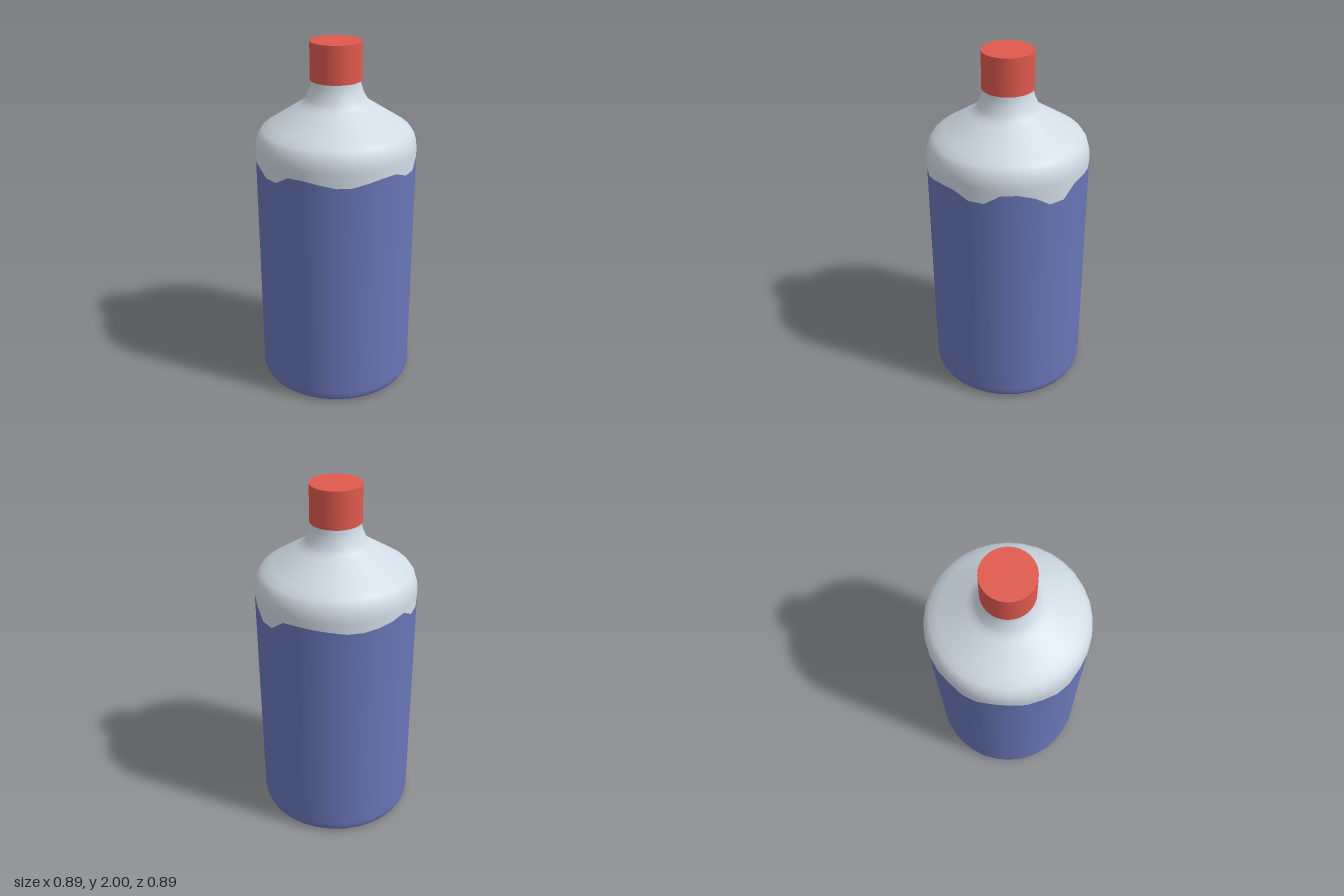
import * as THREE from 'three';

const SIDES = 32;
const RADIUS = 0.447;

// Height of the wavy colour edge at each side, starting at the front and turning towards +x
const WAVE = [
  1.37, 1.357, 1.34, 1.34, 1.357, 1.37, 1.37, 1.335,
  1.335, 1.39, 1.39, 1.365, 1.31, 1.31, 1.375, 1.38,
  1.375, 1.368, 1.356, 1.355, 1.363, 1.374, 1.39, 1.343,
  1.345, 1.38, 1.38, 1.355, 1.355, 1.32, 1.32, 1.37,
];

// Turned shape whose profile point `waveIndex` follows the wavy edge
function wavyLathe(profile, waveIndex) {
  const points = profile.map(([r, y]) => new THREE.Vector2(r, y));
  const geometry = new THREE.LatheGeometry(points, SIDES);
  for (let i = 0; i <= SIDES; i++) {
    geometry.attributes.position.setY(i * points.length + waveIndex, WAVE[i % SIDES]);
  }
  return geometry;
}

function part(name, geometry, color) {
  const material = new THREE.MeshStandardMaterial({ color });
  const mesh = new THREE.Mesh(geometry, material);
  mesh.name = name;
  return mesh;
}

export function createModel() {
  const group = new THREE.Group();
  group.name = 'bottle';

  // Blue lower body with a rounded base edge
  const lower = [
    [0, 0], [0.395, 0], [0.415, 0.003], [0.437, 0.014],
    [0.445, 0.032], [RADIUS, 0.06], [RADIUS, 1.35],
  ];
  group.add(part('lowerBody', wavyLathe(lower, lower.length - 1), 0x6a76b8));

  // Pale upper body: rounded shoulder, sloping cone and flared neck
  const upper = [
    [RADIUS, 1.35], [RADIUS, 1.42], [0.443, 1.455], [0.431, 1.495], [0.407, 1.527],
    [0.36, 1.557], [0.21, 1.653], [0.18, 1.674], [0.163, 1.7], [0.147, 1.735],
    [0.136, 1.77], [0.132, 1.81],
  ];
  group.add(part('shoulderAndNeck', wavyLathe(upper, 0), 0xd0dbe4));

  // Red cap
  const cap = part('cap', new THREE.CylinderGeometry(0.141, 0.141, 0.207, SIDES), 0xe05a4e);
  cap.position.y = 2 - 0.207 / 2;
  group.add(cap);

  return group;
}
